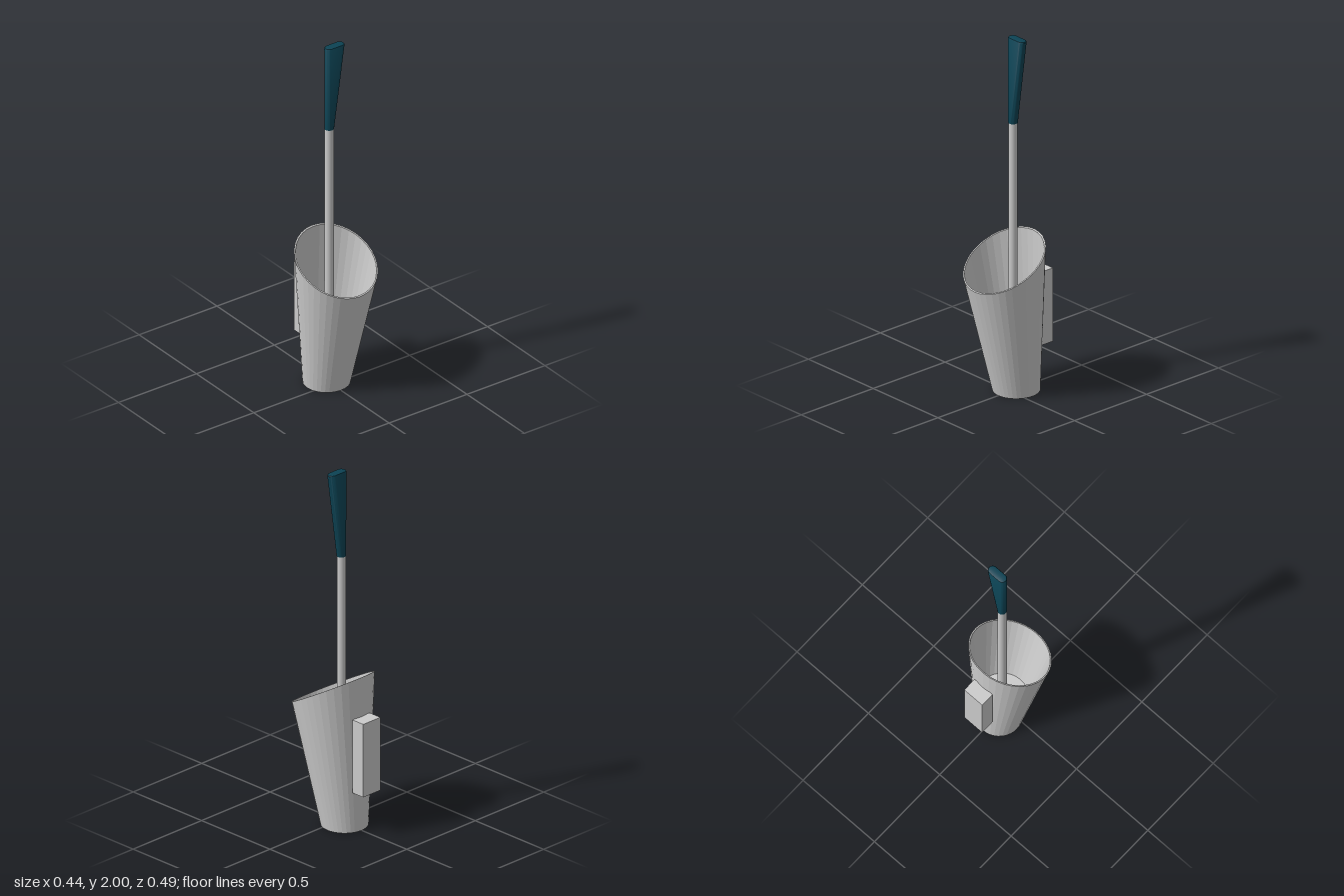
import * as THREE from 'three';
import { toCreasedNormals } from 'three/addons/utils/BufferGeometryUtils.js';

const ROD_Z = -0.022;
const grey = new THREE.MeshStandardMaterial({ color: 0xcccccc });
const greyFlat = new THREE.MeshStandardMaterial({ color: 0xcccccc, flatShading: true });
const teal = new THREE.MeshStandardMaterial({ color: 0x0c4354 });

// Skin a list of equal-length closed rings, dropping zero-area triangles.
function loft(rings) {
  const pos = [];
  const tri = new THREE.Triangle();
  const add = (a, b, c) => {
    if (tri.set(a, b, c).getArea() > 1e-9) for (const p of [a, b, c]) pos.push(p.x, p.y, p.z);
  };
  for (let i = 0; i < rings.length - 1; i++) {
    const lo = rings[i], hi = rings[i + 1], n = lo.length;
    for (let j = 0; j < n; j++) {
      const k = (j + 1) % n;
      add(lo[j], lo[k], hi[k]);
      add(lo[j], hi[k], hi[j]);
    }
  }
  const g = new THREE.BufferGeometry();
  g.setAttribute('position', new THREE.Float32BufferAttribute(pos, 3));
  g.computeVertexNormals();
  return g;
}

// Cup: cone with a vertical back line, cut by a sloping plane at the rim.
function cupGeometry() {
  const SIDES = 36, BACK = -0.17, BASE = 0.125, GROW = 0.13, WALL = 0.008;
  const RIM = 0.87, SLOPE = 0.566, FLOOR = 0.18;
  const ring = (heightAt, inset) => Array.from({ length: SIDES }, (_, j) => {
    const a = (j / SIDES) * Math.PI * 2, c = Math.cos(a);
    const y = heightAt(c), R = BASE + GROW * y, r = Math.max(R - inset, 0);
    return new THREE.Vector3(r * Math.sin(a), y, BACK + R + r * c);
  });
  const rim = inset => c =>
    (RIM - SLOPE * (BASE * (1 + c) - inset * c)) / (1 + SLOPE * GROW * (1 + c));
  return loft([
    ring(() => 0, 1),
    ring(() => 0, 0),
    ring(rim(0), 0),
    ring(rim(WALL), WALL),
    ring(() => FLOOR, WALL),
    ring(() => FLOOR, 1),
  ]);
}

// Grip: round at the rod, widening on one side to a long rounded slot.
function gripGeometry() {
  const HALF = 16;
  const ring = (y, r, len) => {
    const pts = [];
    for (let side = 0; side < 2; side++) {
      for (let k = 0; k <= HALF; k++) {
        const a = (side + k / HALF) * Math.PI;
        pts.push(new THREE.Vector3(r * Math.sin(a) + (side ? 0 : len), y, ROD_Z + r * Math.cos(a)));
      }
    }
    return pts;
  };
  const g = loft([
    ring(1.515, 0, 0),
    ring(1.515, 0.0245, 0.001),
    ring(1.994, 0.0255, 0.067),
    ring(1.9985, 0.023, 0.067),
    ring(2, 0.019, 0.067),
    ring(2, 0, 0.067),
  ]);
  return toCreasedNormals(g, Math.PI / 5);
}

export function createModel() {
  const model = new THREE.Group();
  const add = (name, geometry, material, x = 0, y = 0, z = 0) => {
    const m = new THREE.Mesh(geometry, material);
    m.name = name;
    m.position.set(x, y, z);
    model.add(m);
  };

  add('cup', cupGeometry(), greyFlat);
  add('wallBracket', new THREE.BoxGeometry(0.125, 0.415, 0.079), grey, 0, 0.4395, -0.2045);

  // Stepped collar where the rod meets the brush disc
  const collar = [[0.053, 0.18], [0.053, 0.19], [0.038, 0.19], [0.038, 0.205], [0.024, 0.205]]
    .map(([r, y]) => new THREE.Vector2(r, y));
  add('collar', toCreasedNormals(new THREE.LatheGeometry(collar, 32), 0.6), grey, 0, 0, ROD_Z);

  add('rod', new THREE.CylinderGeometry(0.024, 0.024, 1.34, 32), grey, 0, 0.85, ROD_Z);
  add('grip', gripGeometry(), teal);
  return model;
}
